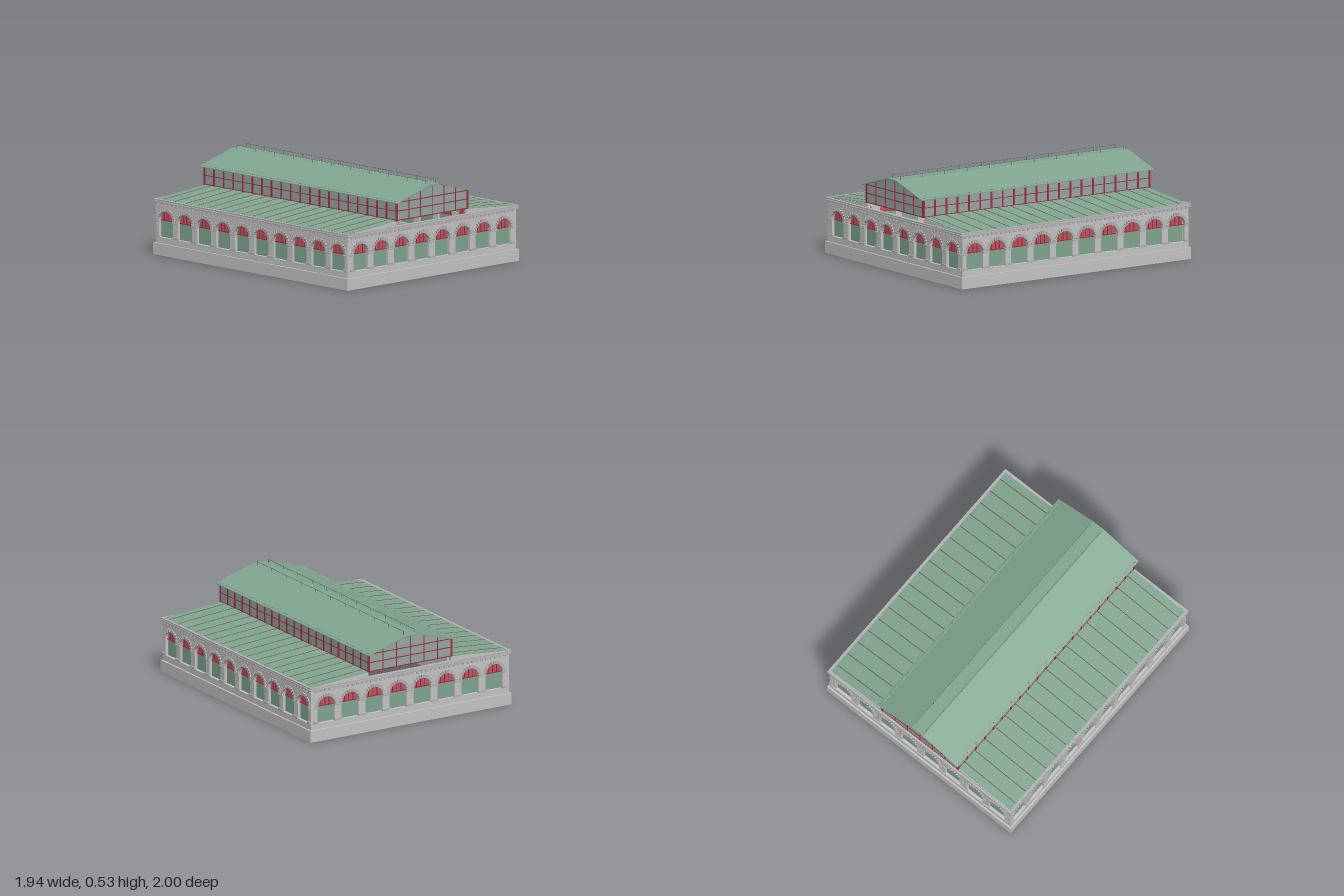
import * as THREE from 'three';
import { mergeGeometries } from 'three/addons/utils/BufferGeometryUtils.js';

const mat = (name, color, double) => {
  const m = new THREE.MeshStandardMaterial({ color });
  m.name = name;
  if (double) m.side = THREE.DoubleSide;
  return m;
};
const M = {
  stone: mat('stone', 0xc4c4c4),
  trim: mat('stone trim', 0xb2b2b2),
  green: mat('green roof', 0x80a590),
  panel: mat('green panel', 0x80a590, true),
  red: mat('red lunette', 0xc0545f, true),
  frame: mat('red frame', 0xa03040),
  seam: mat('dark seam', 0x74504c),
  glass: mat('grey glass', 0x97a6a4, true),
  metal: mat('dark metal', 0x5a6660),
};

// Main sizes: outer half width and length, and the raised nave
const W = 0.65, L = 0.765, NW = 0.267, NL = 0.754;
const R = 0.055, SILL = 0.1, SPRING = 0.193;

const box = (w, h, d, x, y, z, rotZ = 0) =>
  new THREE.BoxGeometry(w, h, d).rotateZ(rotZ).translate(x, y, z);

function prism(points, z0, z1) {
  const shape = new THREE.Shape(points.map(p => new THREE.Vector2(...p)));
  return new THREE.ExtrudeGeometry(shape, { depth: z1 - z0, bevelEnabled: false }).translate(0, 0, z0);
}

function add(parent, name, geometries, material) {
  const list = Array.isArray(geometries) ? geometries : [geometries];
  const mesh = new THREE.Mesh(list.length > 1 ? mergeGeometries(list) : list[0], material);
  mesh.name = name;
  parent.add(mesh);
  return mesh;
}

function archPath(x, r, bottom, Type) {
  const p = new Type();
  p.moveTo(x - r, bottom);
  p.lineTo(x + r, bottom);
  p.lineTo(x + r, SPRING);
  p.absarc(x, SPRING, r, 0, Math.PI, false);
  p.lineTo(x - r, bottom);
  return p;
}

// One arcaded side: x runs along it, z = 0 is the wall face
function makeSide(name, half, outerHalf, count, pitch) {
  const g = new THREE.Group();
  g.name = name;
  const wall = new THREE.Shape();
  wall.moveTo(-half, 0);
  wall.lineTo(half, 0);
  wall.lineTo(half, 0.305);
  wall.lineTo(-half, 0.305);
  const panels = [], lunettes = [], bars = [], blocks = [];
  for (let i = 0; i < count; i++) {
    const x = (i - (count - 1) / 2) * pitch;
    wall.holes.push(archPath(x, R, SILL, THREE.Path));
    // Infill: green screen below, red half disc above
    panels.push(new THREE.PlaneGeometry(R * 2, SPRING - SILL).translate(x, (SPRING + SILL) / 2, -0.016));
    lunettes.push(new THREE.CircleGeometry(R, 20, 0, Math.PI).translate(x, SPRING, -0.016));
    for (const k of [-1, 0, 1])
      bars.push(box(0.003, k ? 0.044 : 0.053, 0.004, x + k * 0.027, SPRING + (k ? 0.022 : 0.0265), -0.014));
    bars.push(box(R * 2, 0.004, 0.006, x, SPRING, -0.014));
    // Arch stones
    for (let k = 0; k < 13; k++) {
      const a = (k + 0.5) / 13 * Math.PI, r = R + 0.0085;
      blocks.push(box(0.017, 0.011, 0.01, x + Math.cos(a) * r, SPRING + Math.sin(a) * r, 0.002, a));
    }
  }
  // Pier capitals and bases
  for (let i = 0; i <= count; i++) {
    const x = (i - count / 2) * pitch;
    const w = i === 0 || i === count ? 0.024 : pitch - 2 * R;
    const px = x + (i === 0 ? 0.011 : i === count ? -0.011 : 0);
    blocks.push(box(w + 0.004, 0.008, 0.01, px, SPRING - 0.004, 0.002));
    blocks.push(box(w + 0.006, 0.012, 0.01, px, SILL + 0.006, 0.002));
  }
  // Cornice brackets
  const n = Math.round(half * 2 / 0.03);
  for (let i = 0; i < n; i++)
    blocks.push(box(0.012, 0.01, 0.01, ((i + 0.5) / n * 2 - 1) * half, 0.285, 0.003));

  add(g, 'arcadeWall', new THREE.ExtrudeGeometry(wall, { depth: 0.03, bevelEnabled: false, curveSegments: 10 })
    .translate(0, 0, -0.03), M.stone);
  add(g, 'archPanels', panels, M.panel);
  add(g, 'archLunettes', lunettes, M.red);
  add(g, 'archBars', bars, M.frame);
  add(g, 'archStonesAndBrackets', blocks, M.trim);
  add(g, 'plinth', box(outerHalf * 2, 0.066, 0.03, 0, 0.033, -0.005), M.stone);
  add(g, 'cornice', [
    box(outerHalf * 2, 0.008, 0.025, 0, 0.294, -0.0045),
    box(outerHalf * 2, 0.008, 0.022, 0, 0.306, -0.001),
  ], M.trim);
  return g;
}

export function createModel() {
  const model = new THREE.Group();
  model.name = 'marketHall';
  const hall = new THREE.Group();
  hall.name = 'hall';
  hall.rotation.y = 0.6133;
  model.add(hall);

  // Four arcaded sides
  ['front', 'left', 'back', 'right'].forEach((name, i) => {
    const long = i % 2 === 1;
    const side = long ? makeSide(name + 'Arcade', 0.755, L, 10, 0.15)
      : makeSide(name + 'Arcade', 0.625, W - 0.001, 8, 0.155);
    const pivot = new THREE.Group();
    pivot.name = name + 'Side';
    pivot.rotation.y = i * Math.PI / 2;
    side.position.z = long ? W - 0.01 : L - 0.01;
    pivot.add(side);
    hall.add(pivot);
  });

  // Low aisle roofs with seams and end gables
  for (const s of [-1, 1]) {
    const slope = (lift, x1) => [[s * NW, 0.34 + lift], [s * x1, 0.311 + lift],
      [s * x1, 0.307 + lift], [s * NW, 0.336 + lift]];
    add(hall, 'aisleRoof', prism(slope(0, 0.634), -0.748, 0.748), M.green);
    const seams = [];
    for (let i = 0; i < 17; i++) {
      const z = (i - 8) * 0.0875;
      seams.push(prism(slope(0.0015, 0.63), z - 0.002, z + 0.002));
    }
    add(hall, 'aisleSeams', seams, M.seam);
    const gable = [[s * NW, 0.3], [s * 0.635, 0.3], [s * 0.635, 0.307], [s * NW, 0.336]];
    add(hall, 'aisleGables', [prism(gable, 0.735, 0.752), prism(gable, -0.752, -0.735)], M.stone);
  }

  // Raised nave: long glazed walls
  for (const s of [-1, 1]) {
    add(hall, 'naveSideGlass', box(0.004, 0.112, NL * 2, s * NW, 0.391, 0), M.glass);
    const bars = [];
    for (let i = 0; i <= 20; i++)
      bars.push(box(0.012, 0.108, 0.01, s * NW, 0.391, (i / 10 - 1) * NL));
    for (const y of [0.342, 0.392, 0.44])
      bars.push(box(0.008, 0.004, NL * 2, s * NW, y, 0));
    add(hall, 'naveSideFrames', bars, M.frame);
  }

  // Nave end gables, open below the glazing
  for (const s of [-1, 1]) {
    const end = [[-NW, 0.338], [NW, 0.338], [NW, 0.441], [0.04, 0.505], [-0.04, 0.505], [-NW, 0.441]];
    add(hall, 'naveEndGlass', prism(end, s * NL - 0.002, s * NL + 0.002), M.glass);
    const bars = [];
    for (let i = -3; i <= 3; i++) {
      const x = i * 0.0885;
      const top = Math.min(0.503, 0.505 - (Math.abs(x) - 0.04) * 0.282);
      bars.push(box(0.005, top - 0.338, 0.009, x, (top + 0.338) / 2, s * NL));
    }
    for (const y of [0.341, 0.392, 0.44])
      bars.push(box(NW * 2, 0.005, 0.009, 0, y, s * NL));
    add(hall, 'naveEndFrames', bars, M.frame);
  }

  // Nave roof with a narrow flat top
  const roof = [[-0.284, 0.441], [-0.04, 0.512], [0.04, 0.512], [0.284, 0.441],
    [0.284, 0.436], [0.04, 0.506], [-0.04, 0.506], [-0.284, 0.436]];
  add(hall, 'naveRoof', prism(roof, -0.778, 0.778), M.green);

  // Fine ridge railing
  const rails = [];
  for (const s of [-1, 1]) {
    rails.push(box(0.0015, 0.0015, 1.5, s * 0.036, 0.53, 0));
    for (let i = -5; i <= 5; i++)
      rails.push(box(0.002, 0.02, 0.002, s * 0.036, 0.521, i * 0.149));
  }
  add(hall, 'ridgeRailing', rails, M.metal);

  return model;
}
